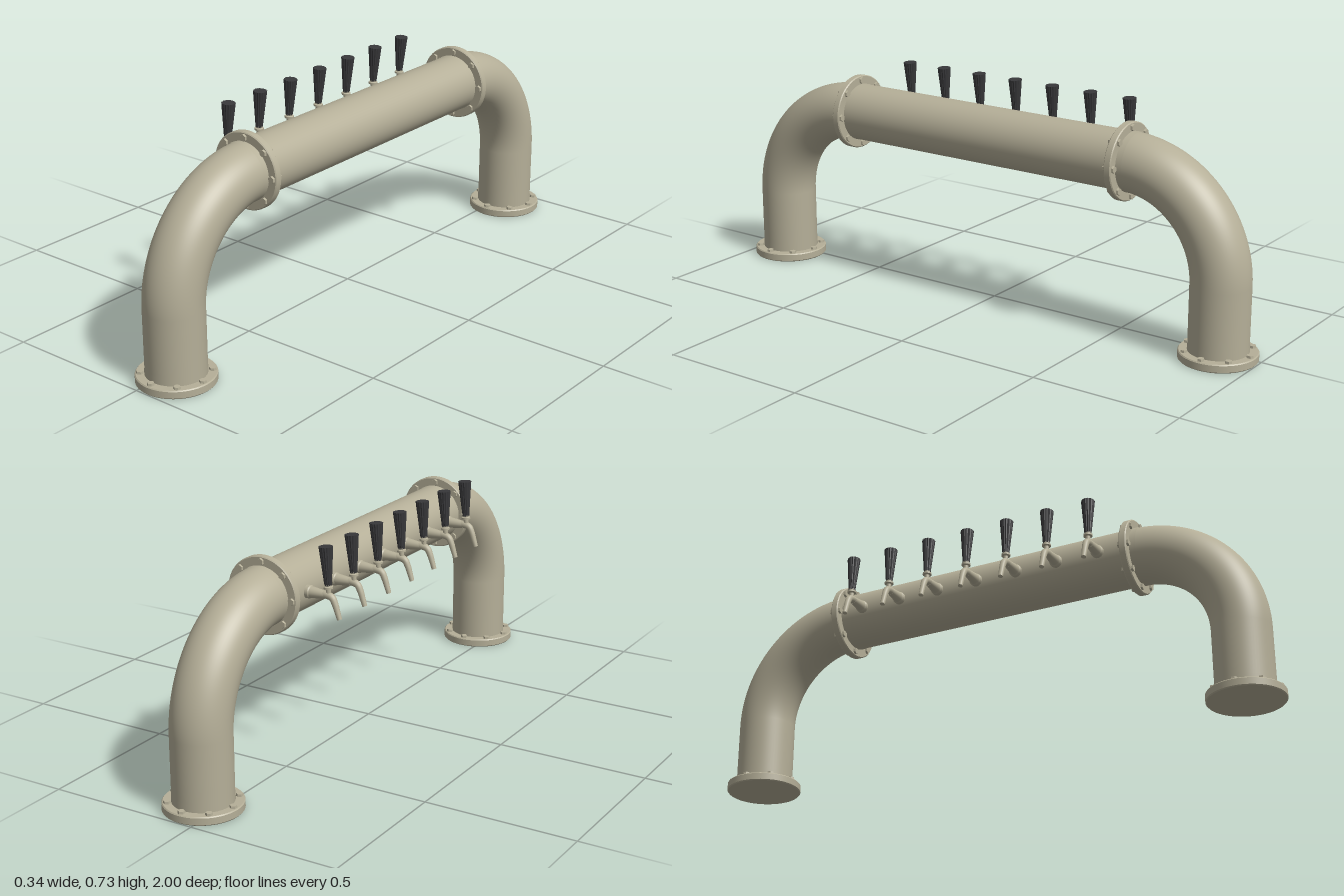
import * as THREE from 'three';

const AXIS_X = 0.045, AXIS_Y = 0.572, PIPE_R = 0.095;
const LEG_Z = 0.875, BEND_R = 0.332, FLANGE_Z = 0.538;

const metal = new THREE.MeshStandardMaterial({ color: 0xb5af98 });
metal.name = 'warm grey metal';
const black = new THREE.MeshStandardMaterial({ color: 0x38383a });
black.name = 'black handle';

function add(parent, name, geometry, material, x = 0, y = 0, z = 0) {
  const mesh = new THREE.Mesh(geometry, material);
  mesh.name = name;
  mesh.position.set(x, y, z);
  parent.add(mesh);
  return mesh;
}

// Lathe with crisp edges: every profile segment gets its own pair of points
function turned(profile, segments) {
  const points = [];
  for (let i = 0; i < profile.length - 1; i++) {
    points.push(new THREE.Vector2(...profile[i]), new THREE.Vector2(...profile[i + 1]));
  }
  const g = new THREE.LatheGeometry(points, segments).toNonIndexed();
  // Rebuild normals per segment from the profile slope
  const rows = points.length;
  const p = new THREE.LatheGeometry(points, segments);
  const n = p.attributes.normal;
  for (let i = 0; i <= segments; i++) {
    const a = (i / segments) * Math.PI * 2;
    for (let j = 0; j < rows; j++) {
      const k = j - (j % 2);
      const d = points[k + 1].clone().sub(points[k]).normalize();
      n.setXYZ(i * rows + j, d.y * Math.sin(a), -d.x, d.y * Math.cos(a));
    }
  }
  g.dispose();
  return p;
}

// Bolted disc along y, centred on its thickness; sides lists the bolted faces
function makeFlange(name, sides) {
  const flange = new THREE.Group();
  flange.name = name;
  const h = 0.0125, r = 0.125, c = 0.003;
  add(flange, 'flangeDisc', turned(
    [[0, -h], [r - c, -h], [r, -h + c], [r, h - c], [r - c, h], [0, h]], 64), metal);
  const bolt = new THREE.CylinderGeometry(0.011, 0.012, 0.008, 6).toNonIndexed();
  bolt.computeVertexNormals();
  for (const side of sides) {
    for (let i = 0; i < 8; i++) {
      const a = (i / 8) * Math.PI * 2;
      const m = add(flange, 'bolt', bolt, metal,
        0.109 * Math.cos(a), side * (h + 0.003), 0.109 * Math.sin(a));
      if (side < 0) m.rotation.x = Math.PI;
    }
    // Weld bead where the pipe enters the disc
    add(flange, 'weldCollar', new THREE.CylinderGeometry(PIPE_R + 0.001, PIPE_R + 0.001, 0.022, 64, 1, true),
      metal, 0, side * (h + 0.01), 0);
  }
  return flange;
}

// Leg, elbow and both flanges, built toward +z
function makeEnd(name) {
  const end = new THREE.Group();
  end.name = name;
  const bendY = AXIS_Y - BEND_R, bendZ = LEG_Z - BEND_R;
  add(end, 'leg', new THREE.CylinderGeometry(PIPE_R, PIPE_R, bendY - 0.01, 64, 1, true),
    metal, 0, (bendY + 0.01) / 2, LEG_Z);
  const elbow = add(end, 'elbow', new THREE.TorusGeometry(BEND_R, PIPE_R, 64, 32, Math.PI / 2),
    metal, 0, bendY, bendZ);
  elbow.rotation.y = -Math.PI / 2;
  const foot = makeFlange('footFlange', [1]);
  foot.scale.y = 1.12;
  foot.position.set(0, 0.014, LEG_Z);
  const joint = makeFlange('jointFlange', [-1, 1]);
  joint.rotation.x = Math.PI / 2;
  joint.position.set(0, AXIS_Y, FLANGE_Z);
  end.add(foot, joint);
  return end;
}

// Tapering curved spout: a tube whose rings shrink toward the tip
function makeSpout() {
  const curve = new THREE.CatmullRomCurve3([
    [-0.095, 0.572], [-0.122, 0.572], [-0.138, 0.566], [-0.148, 0.548], [-0.156, 0.525], [-0.164, 0.501],
  ].map(([x, y]) => new THREE.Vector3(x, y, 0)));
  const rings = 24, sides = 16;
  const g = new THREE.TubeGeometry(curve, rings, 1, sides);
  const pos = g.attributes.position, v = new THREE.Vector3();
  for (let i = 0; i <= rings; i++) {
    const c = curve.getPointAt(i / rings);
    const r = 0.0135 - 0.0055 * (i / rings);
    for (let j = 0; j <= sides; j++) {
      const k = i * (sides + 1) + j;
      v.fromBufferAttribute(pos, k).sub(c).multiplyScalar(r).add(c);
      pos.setXYZ(k, v.x, v.y, v.z);
    }
  }
  return { geometry: g, tip: curve.getPointAt(1), direction: curve.getTangentAt(1) };
}

// Fluted, flaring grip
function makeGrip() {
  const g = new THREE.CylinderGeometry(0.0225, 0.0115, 0.122, 32, 1).toNonIndexed();
  const pos = g.attributes.position;
  for (let i = 0; i < pos.count; i++) {
    const step = Math.round(Math.atan2(pos.getZ(i), pos.getX(i)) / (Math.PI / 16));
    const s = Math.abs(step) % 2 ? 0.92 : 1;
    pos.setXYZ(i, pos.getX(i) * s, pos.getY(i), pos.getZ(i) * s);
  }
  g.computeVertexNormals();
  return g;
}

export function createModel() {
  const model = new THREE.Group();
  model.name = 'pipeTapTower';

  // Horizontal pipe
  const pipe = add(model, 'crossPipe',
    new THREE.CylinderGeometry(PIPE_R, PIPE_R, FLANGE_Z * 2 + 0.012, 64, 1, true), metal, AXIS_X, AXIS_Y, 0);
  pipe.rotation.x = Math.PI / 2;

  // Mirrored ends
  for (const [name, turn] of [['frontEnd', 0], ['backEnd', Math.PI]]) {
    const end = makeEnd(name);
    end.position.x = AXIS_X;
    end.rotation.y = turn;
    model.add(end);
  }

  // Row of seven taps on the right side
  const spout = makeSpout();
  const shank = turned([[0.021, 0], [0.021, 0.014], [0.0185, 0.018], [0.0125, 0.068], [0, 0.068]], 24);
  const stem = turned([[0.008, 0], [0.008, 0.018], [0.015, 0.02], [0.015, 0.026],
    [0.011, 0.028], [0.011, 0.034], [0, 0.034]], 20);
  const grip = makeGrip();
  const tipCap = new THREE.CircleGeometry(0.008, 16);
  for (let i = 0; i < 7; i++) {
    const tap = new THREE.Group();
    tap.name = 'tap' + (i + 1);
    tap.position.z = (i - 3) * 0.147;
    add(tap, 'shank', shank, metal, -0.046, 0.572, 0).rotation.z = Math.PI / 2;
    add(tap, 'spout', spout.geometry, metal);
    const cap = add(tap, 'spoutTip', tipCap, metal, spout.tip.x, spout.tip.y, 0);
    cap.quaternion.setFromUnitVectors(new THREE.Vector3(0, 0, 1), spout.direction);
    const handle = new THREE.Group();
    handle.name = 'handle';
    handle.position.set(-0.1255, 0.574, 0);
    handle.rotation.z = -0.058;
    add(handle, 'stem', stem, metal);
    add(handle, 'grip', grip, black, 0, 0.091, 0);
    tap.add(handle);
    model.add(tap);
  }
  return model;
}
